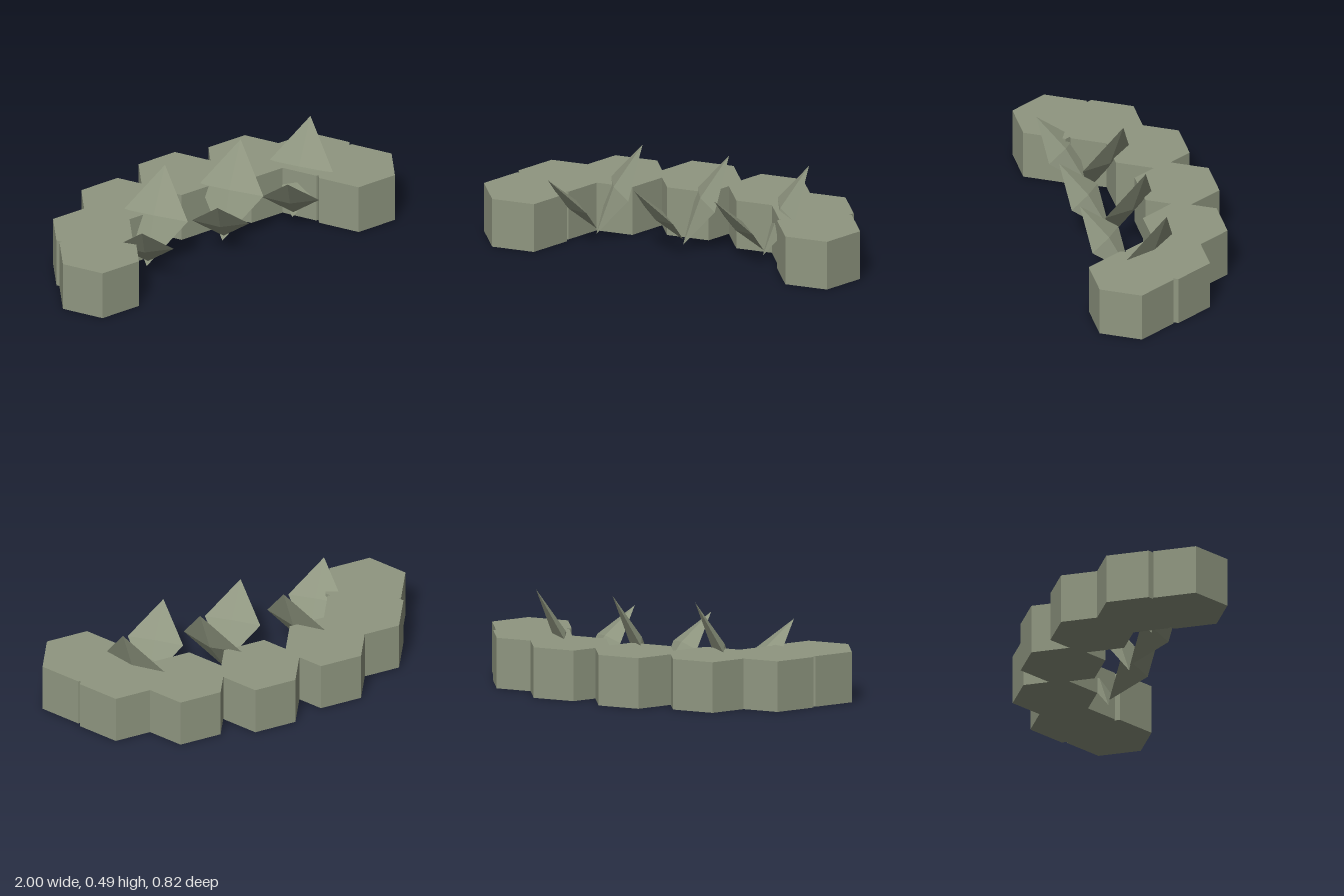
import * as THREE from 'three';

const stone = new THREE.MeshStandardMaterial({ color: 0x8f9680, flatShading: true });
stone.name = 'grey green stone';

const HEIGHT = 0.258;
const RADIUS = 0.221;

// Hexagonal block with two corners on the x axis
function hexBlock(x, z) {
  const geo = new THREE.CylinderGeometry(RADIUS, RADIUS, HEIGHT, 6);
  geo.rotateY(Math.PI / 6);
  const mesh = new THREE.Mesh(geo, stone);
  mesh.position.set(x, HEIGHT / 2, z);
  mesh.name = 'hexBlock';
  return mesh;
}

// Thin octahedral shard: centre, half vector to its tip, half vector to its side corner
function shard(centre, tip, side, thickness, name) {
  const v = new THREE.Vector3(...tip);
  const u = new THREE.Vector3(...side);
  const w = new THREE.Vector3().crossVectors(u, v).setLength(thickness);
  const geo = new THREE.OctahedronGeometry(1);
  geo.applyMatrix4(new THREE.Matrix4().makeBasis(u, v, w));
  const mesh = new THREE.Mesh(geo, stone);
  mesh.position.set(...centre);
  mesh.name = name;
  return mesh;
}

export function createModel() {
  const model = new THREE.Group();
  model.name = 'crystalArc';

  // Arc of hexagonal blocks, mirrored around the middle one
  const arc = new THREE.Group();
  arc.name = 'hexArc';
  arc.add(hexBlock(0, -0.219));
  for (const s of [-1, 1]) {
    for (const [x, z] of [[0.387, -0.163], [0.67, 0], [0.779, 0.217]]) arc.add(hexBlock(s * x, z));
  }
  model.add(arc);

  // Two rows of leaning shards
  const shards = new THREE.Group();
  shards.name = 'shards';
  for (const dx of [-0.46, 0, 0.425]) {
    shards.add(shard([dx + 0.129, 0.255, 0.066], [0.1, 0.23, -0.065], [0.096, 0, 0.144], 0.034, 'backShard'));
    shards.add(shard([dx - 0.06, 0.215, 0.245], [-0.093, 0.16, 0.109], [0.11, 0, 0.095], 0.028, 'frontShard'));
  }
  model.add(shards);

  return model;
}
